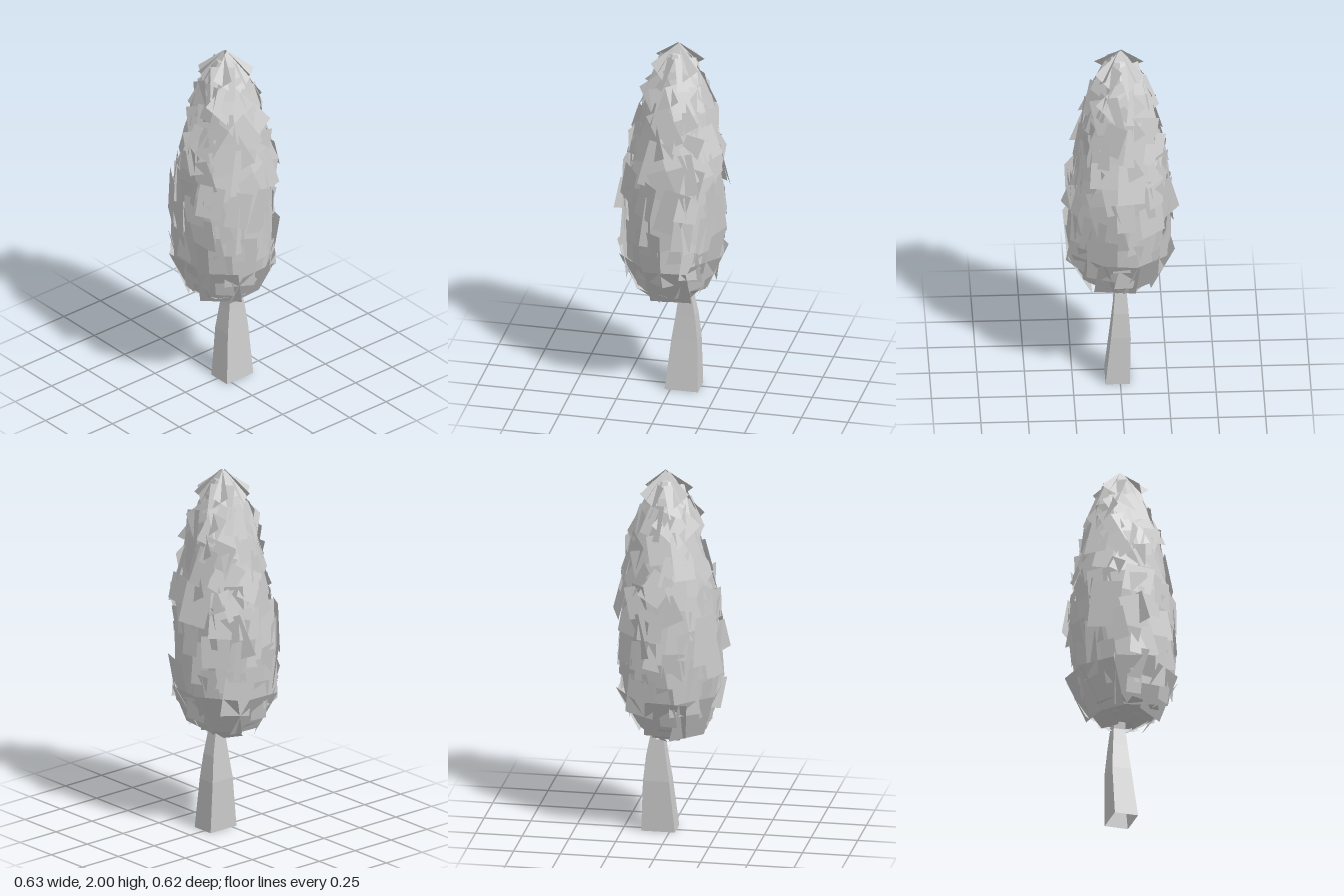
import * as THREE from 'three';
import { mergeGeometries } from 'three/addons/utils/BufferGeometryUtils.js';

const grey = new THREE.MeshStandardMaterial({ color: 0xcccccc, flatShading: true, side: THREE.DoubleSide });

// small seeded generator, returns -1..1
let seed = 11;
const rnd = () => {
  seed = (seed * 16807) % 2147483647;
  return (seed / 2147483647) * 2 - 1;
};

// crown outline: [radius, height]
const outline = [[0.12, 0.54], [0.18, 0.6], [0.222, 0.68], [0.248, 0.8], [0.26, 1.0], [0.254, 1.2],
  [0.228, 1.4], [0.182, 1.6], [0.14, 1.75], [0.1, 1.85], [0.05, 1.93]];

function radiusAt(y) {
  for (let i = 1; i < outline.length; i++) {
    const [r0, y0] = outline[i - 1], [r1, y1] = outline[i];
    if (y <= y1) return r0 + (r1 - r0) * (y - y0) / (y1 - y0);
  }
  return outline.at(-1)[0];
}
// the crown leans slightly backwards above the middle
const leanAt = (y) => -0.022 * THREE.MathUtils.smoothstep(y, 1.0, 1.5);

// flat leaf card lying on the crown; pitch > 0 faces the sky
function card(y, angle, r, w, h, pitch, yaw, roll) {
  const g = new THREE.PlaneGeometry(w, h);
  g.rotateZ(roll).rotateX(-pitch).rotateY(yaw);
  return g.translate(0, y, r).rotateY(angle).translate(0, 0, leanAt(y));
}

// open four-sided trunk that bends up into the crown
function makeTrunk() {
  // square sections: y, x centre, z centre, half width, half depth
  const sections = [[0, 0.014, -0.06, 0.064, 0.09], [0.28, -0.003, -0.07, 0.052, 0.07],
    [0.42, -0.004, -0.073, 0.04, 0.052], [0.52, -0.004, -0.07, 0.032, 0.036], [0.75, 0, -0.03, 0.025, 0.03]];
  const steps = sections.length - 1;
  const g = new THREE.CylinderGeometry(Math.SQRT2, Math.SQRT2, 1, 4, steps, true);
  g.rotateY(Math.PI / 4);
  const p = g.attributes.position;
  for (let i = 0; i < p.count; i++) {
    const [y, cx, cz, hw, hd] = sections[Math.round((p.getY(i) + 0.5) * steps)];
    p.setXYZ(i, cx + p.getX(i) * hw, y, cz + p.getZ(i) * hd);
  }
  g.computeVertexNormals();
  return new THREE.Mesh(g, grey);
}

// inner foliage that closes the gaps between the cards
function makeCore() {
  const pts = [[0, 0.56], ...outline.map(([r, y]) => [r * 0.94, y + 0.015]), [0, 1.965]];
  const g = new THREE.LatheGeometry(pts.map(([r, y]) => new THREE.Vector2(r, y)), 10);
  const p = g.attributes.position;
  for (let i = 0; i < p.count; i++) p.setZ(i, p.getZ(i) + leanAt(p.getY(i)));
  return new THREE.Mesh(g, grey);
}

function makeLeaves() {
  const cards = [];
  // main cover, spiralling up the crown
  const count = 105;
  for (let i = 0; i < count; i++) {
    const t = i / (count - 1);
    const y = 0.74 + 1.0 * t;
    const r = radiusAt(y);
    const slope = Math.atan2(radiusAt(y - 0.06) - radiusAt(y + 0.06), 0.12);
    const w = 0.125 + 0.045 * rnd();
    const h = 0.25 - 0.08 * t + 0.06 * rnd();
    const roll = rnd() * (0.15 + 0.65 * t);
    cards.push(card(y, i * 2.39996, r + 0.004 + 0.01 * rnd(), w, h, slope + 0.1 * rnd(), 0.32 * rnd(), roll));
  }
  // broad cards tucked under the crown
  for (let i = 0; i < 8; i++) {
    const a = i * Math.PI / 4 + 0.1 * rnd();
    cards.push(card(0.68 + 0.02 * rnd(), a, 0.214, 0.22, 0.26, -0.46 + 0.08 * rnd(), 0.1 * rnd(), 0.15 * rnd()));
  }
  for (let i = 0; i < 7; i++) {
    cards.push(card(0.565, i * 0.9 + 0.3, 0.12, 0.15, 0.16, -0.95 + 0.2 * rnd(), 0, 0.5 * rnd()));
  }
  // stray cards standing off the sides
  for (let i = 0; i < 16; i++) {
    const y = 0.78 + (i * 0.37) % 0.8;
    cards.push(card(y, i * 2.1, radiusAt(y) + 0.005, 0.1, 0.17, 0.15 * rnd(), 0.85 * rnd(), 0.4 * rnd()));
  }
  // large shingles around the shoulders
  for (let i = 0; i < 6; i++) {
    cards.push(card(1.735 + 0.02 * rnd(), i * Math.PI / 3, 0.143, 0.18, 0.19, 0.36, 0.15 * rnd(), 0.15 + 0.6 * (i % 2)));
  }
  // upright cards, then diamonds that meet at the tip
  for (let i = 0; i < 4; i++) {
    const a = i * Math.PI / 2;
    cards.push(card(1.85, a + 0.75, 0.1, 0.13, 0.18, 0.47, 0.1 * rnd(), 0.3 * rnd()));
    cards.push(card(1.885, a, 0.07, 0.185, 0.185, 0.52, 0.06 * rnd(), 0.785 + 0.08 * rnd()));
  }
  return new THREE.Mesh(mergeGeometries(cards), grey);
}

export function createModel() {
  seed = 11;
  const tree = new THREE.Group();
  tree.name = 'cypressTree';
  const parts = { trunk: makeTrunk(), crownCore: makeCore(), leafCards: makeLeaves() };
  for (const [name, mesh] of Object.entries(parts)) {
    mesh.name = name;
    tree.add(mesh);
  }
  return tree;
}
